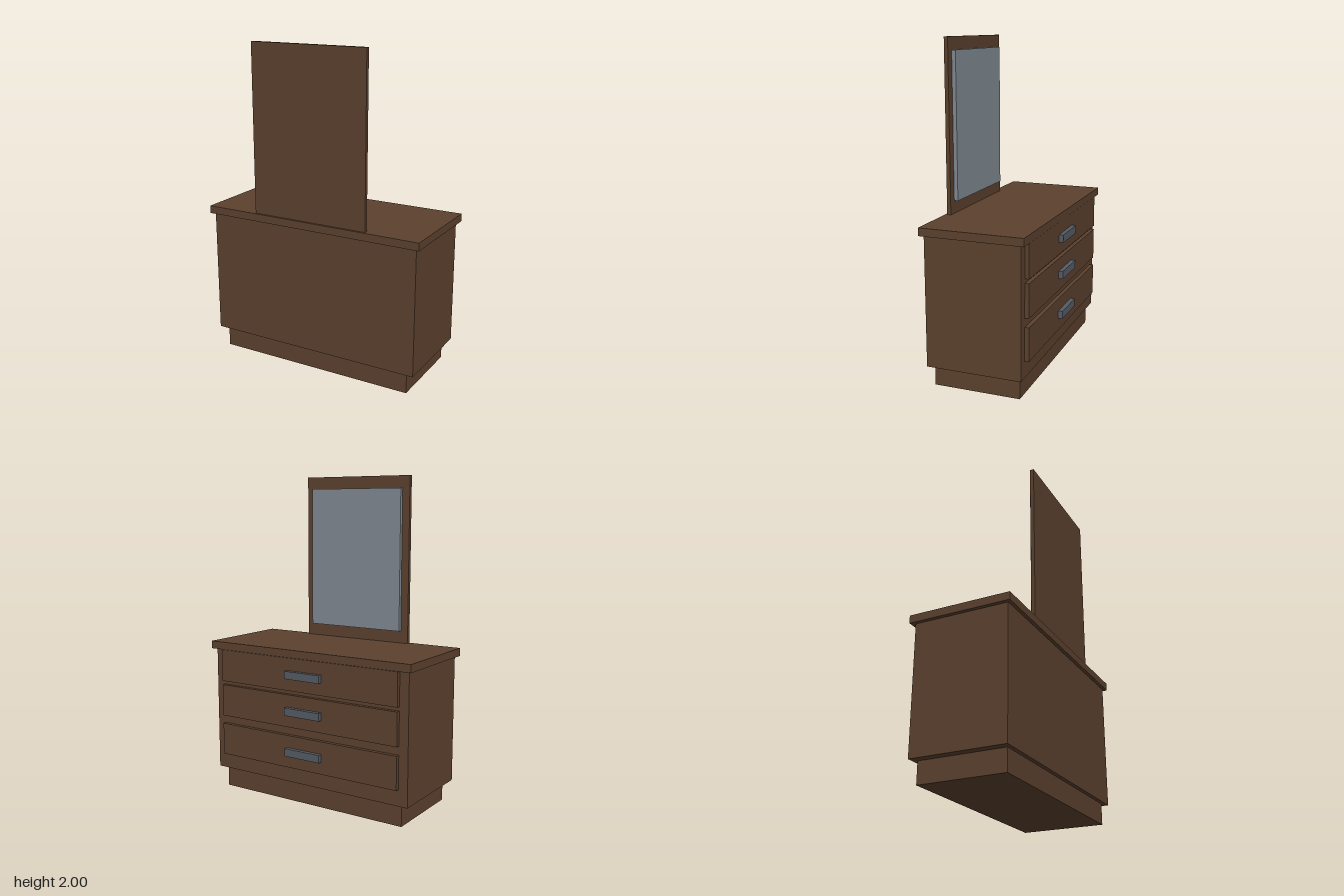
import * as THREE from 'three';

export function createModel() {
  const group = new THREE.Group();
  const material = (name, color) => {
    const m = new THREE.MeshStandardMaterial({ color });
    m.name = name;
    return m;
  };
  const wood = material('brown wood', 0x5c412e);
  const glass = material('mirror glass', 0x808a92);
  const metal = material('dark metal', 0x565c65);

  // Box centred on x, given its half width and its y and z ranges
  const box = (name, mat, halfWidth, y0, y1, z0, z1) => {
    const mesh = new THREE.Mesh(new THREE.BoxGeometry(2 * halfWidth, y1 - y0, z1 - z0), mat);
    mesh.position.set(0, (y0 + y1) / 2, (z0 + z1) / 2);
    mesh.name = name;
    group.add(mesh);
  };

  // Cabinet
  box('plinth', wood, 0.645, 0, 0.13, -0.251, 0.279);
  box('cabinet', wood, 0.696, 0.13, 0.915, -0.277, 0.305);
  box('tabletop', wood, 0.72, 0.915, 0.963, -0.304, 0.327);

  // Drawers and their bar handles, on the -z side
  [0.33, 0.585, 0.812].forEach((y, i) => {
    box(`drawer${i + 1}`, wood, 0.637, y - 0.101, y + 0.101, -0.302, -0.277);
    box(`handle${i + 1}`, metal, 0.126, y - 0.024, y + 0.024, -0.329, -0.302);
  });

  // Mirror and its backing board
  box('mirrorBoard', wood, 0.378, 0.963, 2, 0.29, 0.314);
  box('mirrorGlass', glass, 0.329, 1.04, 1.924, 0.266, 0.29);

  return group;
}
